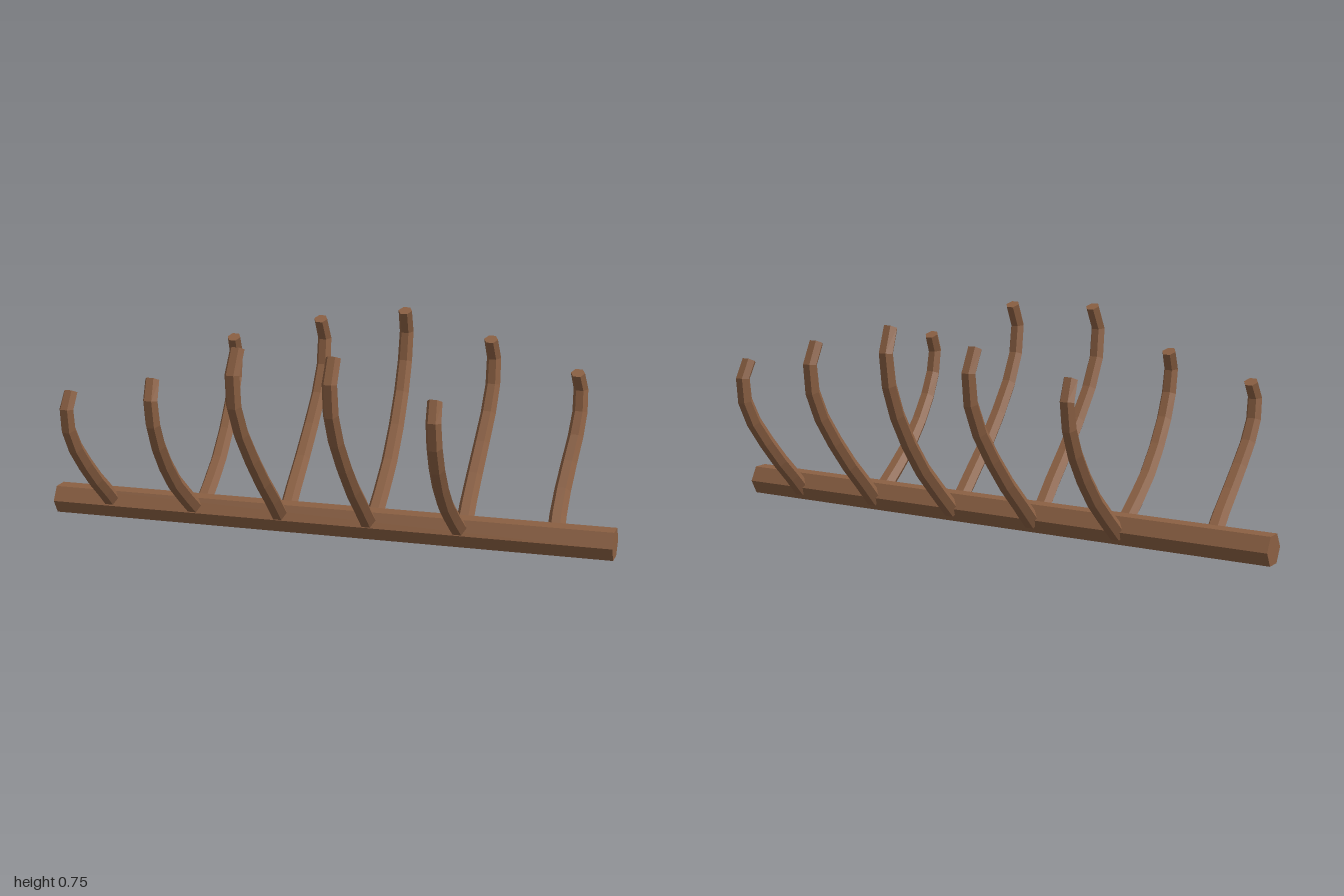
import * as THREE from 'three';

const wood = new THREE.MeshStandardMaterial({ color: 0x8b6043, flatShading: true });
const keelY = (x) => 0.0675 + 0.0175 * x;

// Rib centre line as [outward, up] from the keel axis
const ribPath = [
  [0.03, 0.005], [0.12, 0.09], [0.21, 0.175], [0.30, 0.28],
  [0.375, 0.385], [0.425, 0.49], [0.44, 0.595], [0.405, 0.675],
];

// Six-sided tapered beam swept along a list of points
function beam(points, r0, r1) {
  const sides = 6, last = points.length - 1, pos = [], index = [];
  const X = new THREE.Vector3(1, 0, 0);
  points.forEach((p, i) => {
    const dir = new THREE.Vector3()
      .subVectors(points[Math.min(i + 1, last)], points[Math.max(i - 1, 0)])
      .setX(0).normalize();
    const up = dir.clone().cross(X);
    const r = r0 + (r1 - r0) * i / last;
    for (let j = 0; j < sides; j++) {
      const a = j / sides * Math.PI * 2;
      const v = p.clone().addScaledVector(X, r * Math.cos(a)).addScaledVector(up, r * Math.sin(a));
      pos.push(v.x, v.y, v.z);
    }
  });
  for (let i = 0; i < last; i++) {
    for (let j = 0; j < sides; j++) {
      const a = i * sides + j, b = i * sides + (j + 1) % sides;
      index.push(a, b, b + sides, a, b + sides, a + sides);
    }
  }
  // End caps
  const e = last * sides;
  for (let j = 1; j < sides - 1; j++) index.push(0, j + 1, j, e, e + j, e + j + 1);
  const g = new THREE.BufferGeometry();
  g.setAttribute('position', new THREE.Float32BufferAttribute(pos, 3));
  g.setIndex(index);
  const flat = g.toNonIndexed();
  flat.computeVertexNormals();
  return flat;
}

function rib(name, side, x, outScale, upScale, sway) {
  const baseLift = side > 0 ? 0.01 : -0.015;
  const points = ribPath.map(([o, u], i) => {
    const t = i / (ribPath.length - 1);
    return new THREE.Vector3(
      x + sway * Math.sin(t * Math.PI * 2),
      keelY(x) + u * upScale + baseLift * (1 - t),
      side * o * outScale
    );
  });
  const mesh = new THREE.Mesh(beam(points, 0.03, 0.0245), wood);
  mesh.name = name;
  return mesh;
}

export function createModel() {
  const model = new THREE.Group();
  model.name = 'ribbedFrame';

  // Keel: hexagonal beam rising slightly towards +x
  const keelGeo = new THREE.CylinderGeometry(0.0555, 0.0555, 2, 6);
  keelGeo.rotateZ(-Math.PI / 2);
  const p = keelGeo.attributes.position;
  for (let i = 0; i < p.count; i++) p.setY(i, p.getY(i) + keelY(p.getX(i)));
  keelGeo.computeVertexNormals();
  const keel = new THREE.Mesh(keelGeo, wood);
  keel.name = 'keel';
  model.add(keel);

  // Ribs: x, outward scale, upward scale, sideways sway
  const frontRibs = [
    [-0.785, 0.78, 0.705, 0.006], [-0.467, 0.89, 0.81, -0.006], [-0.152, 1, 1, 0.007],
    [0.166, 0.99, 0.98, 0.002], [0.483, 0.89, 0.79, -0.006],
  ];
  const backRibs = [
    [-0.467, 0.9, 0.8, 0.005], [-0.15, 1, 0.91, -0.004], [0.163, 1, 0.975, 0.005],
    [0.483, 0.9, 0.86, -0.006], [0.797, 0.79, 0.725, -0.009],
  ];
  frontRibs.forEach((r, i) => model.add(rib('frontRib' + (i + 1), 1, ...r)));
  backRibs.forEach((r, i) => model.add(rib('backRib' + (i + 1), -1, ...r)));
  return model;
}
